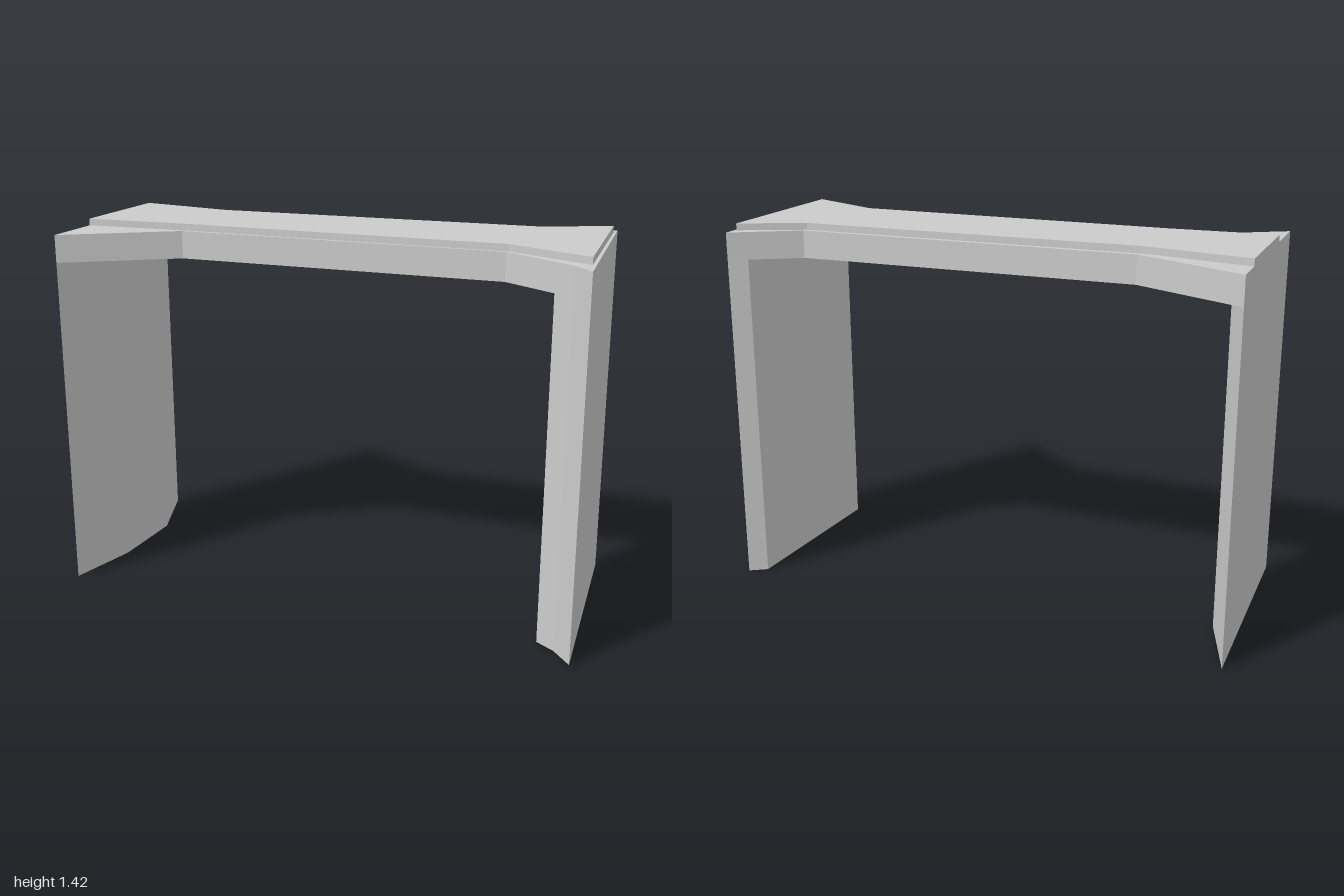
import * as THREE from 'three';

const material = new THREE.MeshStandardMaterial({ color: 0xcccccc, flatShading: true });

// Prism with a plan outline of [x, z] corners, standing between two heights
function prism(name, outline, bottom, top) {
  const shape = new THREE.Shape(outline.map(([x, z]) => new THREE.Vector2(x, -z)));
  const geometry = new THREE.ExtrudeGeometry(shape, { depth: top - bottom, bevelEnabled: false });
  geometry.rotateX(-Math.PI / 2);
  geometry.translate(0, bottom, 0);
  const mesh = new THREE.Mesh(geometry, material);
  mesh.name = name;
  return mesh;
}

export function createModel() {
  const group = new THREE.Group();
  group.name = 'gateway';
  const legTop = 1.285, beamTop = 1.39, slabTop = 1.416;

  // Right pier: flat outside, three facets inside
  group.add(prism('rightPier', [
    [-1, 0.41], [-0.925, 0.14], [-0.905, -0.18], [-1, -0.475],
  ], 0, legTop));

  // Left pier: slightly skewed slab with a pointed front corner
  group.add(prism('leftPier', [
    [1, 0.473], [0.965, -0.4], [0.9, -0.361], [0.86, 0.343], [0.93, 0.39],
  ], 0, legTop));

  // Beam, flaring out over both piers
  group.add(prism('beam', [
    [-1, -0.475], [-0.59, -0.266], [0.72, -0.25], [0.965, -0.4], [1, 0.473],
    [0.93, 0.39], [0.665, 0.207], [-0.595, 0.166], [-1, 0.41],
  ], legTop, beamTop));

  // Thin deck set in from the beam's edges
  group.add(prism('deck', [
    [-1, -0.33], [-0.6, -0.243], [0.715, -0.23], [0.957, -0.34],
    [0.982, 0.355], [0.67, 0.196], [-0.6, 0.15], [-1, 0.158],
  ], beamTop, slabTop));

  return group;
}
